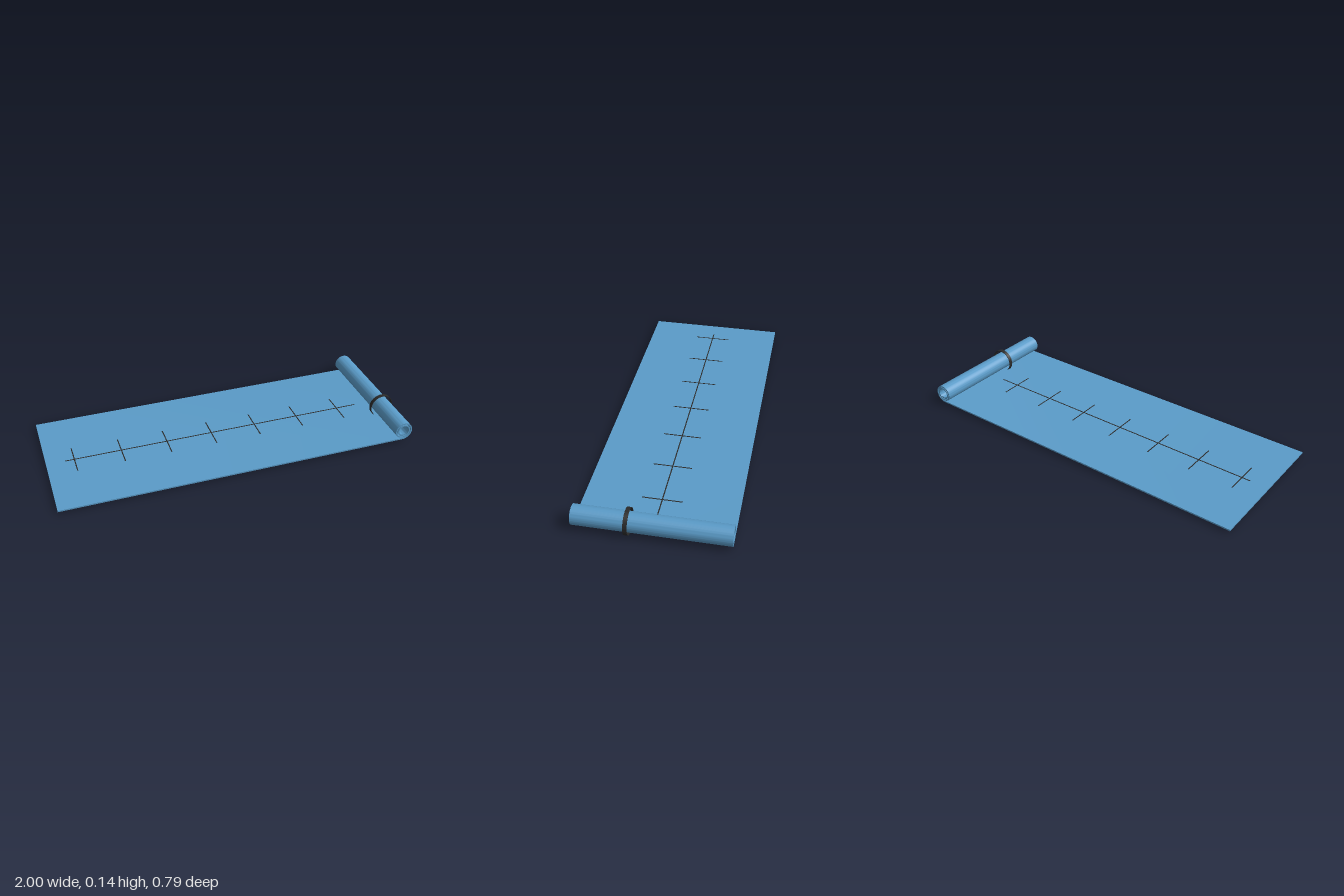
import * as THREE from 'three';
import { toCreasedNormals } from 'three/addons/utils/BufferGeometryUtils.js';

const CX = 0.93, CY = 0.068;       // axis of the roll
const R = 0.052, PITCH = 0.012;    // spiral start radius and inward step per turn
const T = 0.008, WIDTH = 0.786;    // sheet thickness and width
const TURNS = 2.1;
const TOP = CY - R + T / 2;        // upper surface of the flat sheet

// Side outline of the sheet: flat run, then an inward spiral
function sheetShape() {
  const outer = [new THREE.Vector2(-1, CY - R - T / 2)];
  const inner = [new THREE.Vector2(-1, TOP)];
  const n = 130;
  for (let i = 0; i <= n; i++) {
    const turn = (i / n) * TURNS;
    const a = -Math.PI / 2 + turn * Math.PI * 2;
    const r = R - PITCH * turn;
    const at = (d) => new THREE.Vector2(CX + Math.cos(a) * (r + d), CY + Math.sin(a) * (r + d));
    outer.push(at(T / 2));
    inner.push(at(-T / 2));
  }
  return new THREE.Shape([...outer, ...inner.reverse()]);
}

export function createModel() {
  const model = new THREE.Group();
  model.name = 'rolledMat';
  const blue = new THREE.MeshStandardMaterial({ color: 0x5a9bc8 });
  const dark = new THREE.MeshStandardMaterial({ color: 0x2a2a2a });

  const add = (name, geometry, material, x = 0, y = 0, z = 0) => {
    const mesh = new THREE.Mesh(geometry, material);
    mesh.name = name;
    mesh.position.set(x, y, z);
    model.add(mesh);
    return mesh;
  };

  // Mat with one rolled end
  const sheet = new THREE.ExtrudeGeometry(sheetShape(), { depth: WIDTH, bevelEnabled: false });
  add('mat', toCreasedNormals(sheet, 0.6), blue, 0, 0, -WIDTH / 2);

  // Strap loop around the roll
  const ro = 0.068, ri = 0.0645, h = 0.0105;
  const profile = [[ri, -h], [ro, -h], [ro, h], [ri, h], [ri, -h]].map(([x, y]) => new THREE.Vector2(x, y));
  const strap = toCreasedNormals(new THREE.LatheGeometry(profile, 64), 0.6);
  add('strap', strap, dark, 0.932, 0.068, 0.118).rotation.x = Math.PI / 2;

  // Centre line and cross marks on the upper surface
  const markHeight = 0.002;
  add('centreLine', new THREE.BoxGeometry(1.72, markHeight, 0.006), dark, -0.036, TOP, 0);
  for (let i = 0; i < 7; i++) {
    add('crossMark', new THREE.BoxGeometry(0.006, markHeight, 0.206), dark, -0.847 + i * 0.259, TOP, 0);
  }

  return model;
}
